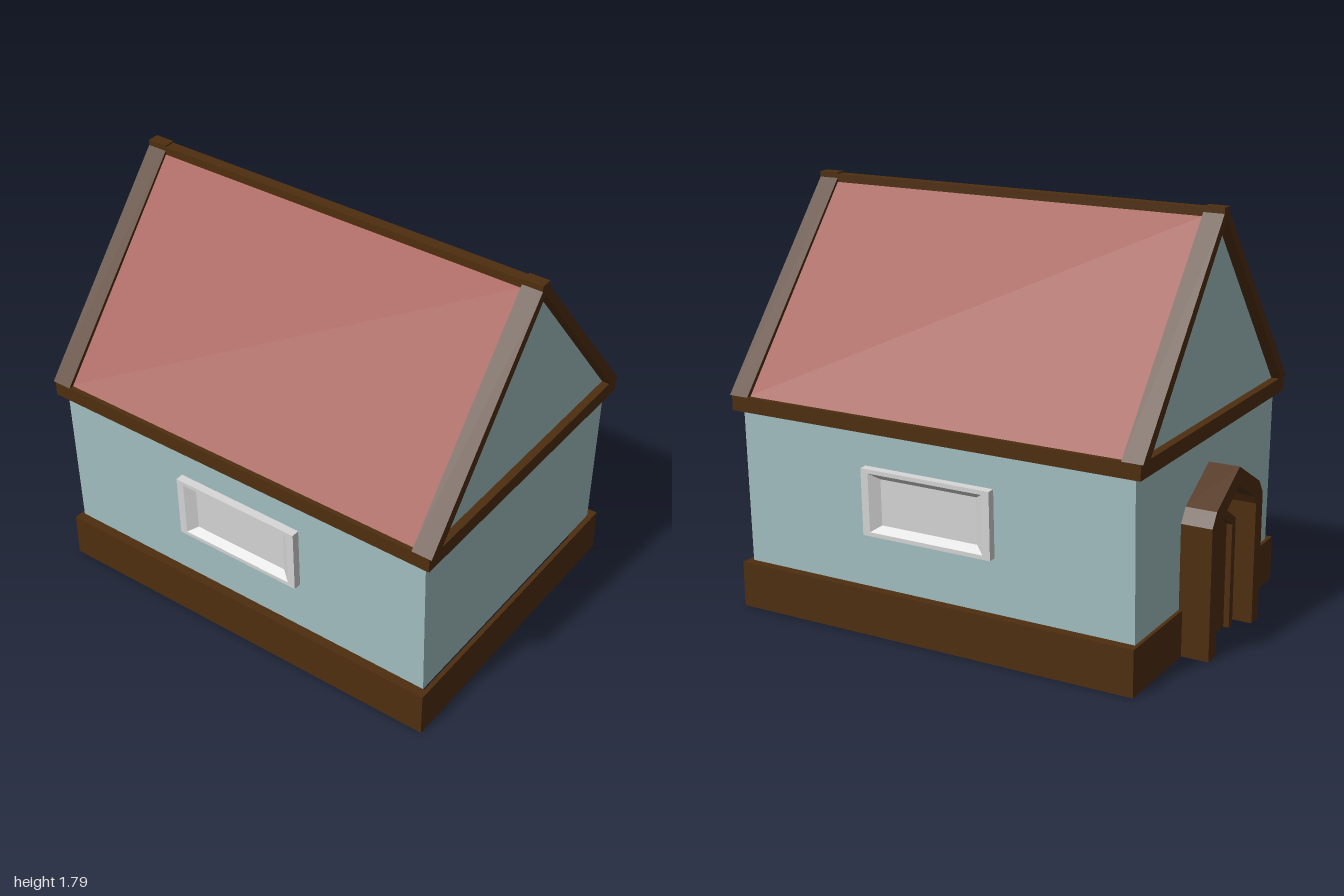
import * as THREE from 'three';

const mat = (name, color, side = THREE.FrontSide) => {
  const m = new THREE.MeshStandardMaterial({ color, side });
  m.name = name;
  return m;
};

// Flat-sided skin through rectangles [halfX, halfZ, y], optionally closed on the last one
function loft(rings, cap) {
  const pos = [];
  const corner = ([w, d, y], i) => [[w, y, d], [w, y, -d], [-w, y, -d], [-w, y, d]][i % 4];
  const quad = (a, b, c, d) => pos.push(...a, ...b, ...c, ...a, ...c, ...d);
  for (let r = 0; r + 1 < rings.length; r++) {
    for (let i = 0; i < 4; i++) {
      quad(corner(rings[r], i), corner(rings[r], i + 1), corner(rings[r + 1], i + 1), corner(rings[r + 1], i));
    }
  }
  if (cap) quad(...[0, 1, 2, 3].map((i) => corner(rings[rings.length - 1], i)));
  const g = new THREE.BufferGeometry();
  g.setAttribute('position', new THREE.Float32BufferAttribute(pos, 3));
  g.computeVertexNormals();
  return g;
}

// Outline in x/y extruded from z0 to z1
function slab(points, z0, z1) {
  const shape = new THREE.Shape(points.map(([x, y]) => new THREE.Vector2(x, y)));
  return new THREE.ExtrudeGeometry(shape, { depth: z1 - z0, bevelEnabled: false }).translate(0, 0, z0);
}

// Completes a right-hand half outline with its mirror image
const mirror = (half) => [...half, ...half.filter(([x]) => x > 0).reverse().map(([x, y]) => [-x, y])];

// Symmetric frame: up the outer edge, back down along the inner edge
function arch(outer, inner, z0, z1) {
  const flip = (pts) => pts.map(([x, y]) => [-x, y]);
  const points = [
    ...outer, ...flip(outer.slice(0, -1)).reverse(),
    ...flip(inner), ...inner.slice(0, -1).reverse(),
  ];
  return slab(points, z0, z1);
}

export function createModel() {
  const house = new THREE.Group();
  house.name = 'house';
  const wall = mat('pale blue plaster', 0xa2bfc0, THREE.DoubleSide);
  const wood = mat('dark brown wood', 0x4e2e0f, THREE.DoubleSide);
  const tile = mat('red roof tile', 0x983f33);
  const white = mat('window white', 0xd6d6d6);

  const add = (name, geometry, material, x = 0, y = 0, z = 0, parent = house) => {
    const mesh = new THREE.Mesh(geometry, material);
    mesh.name = name;
    mesh.position.set(x, y, z);
    parent.add(mesh);
    return mesh;
  };

  // Hollow plinth and walls that lean outward, open underneath
  add('plinth', loft([[0.702, 0.93, 0], [0.702, 0.93, 0.2], [0.66, 0.91, 0.2]]), wood, 0, 0, 0.05);
  add('walls', loft([[0.66, 0.91, 0.2], [0.68, 0.91, 0.885]]), wall, 0, 0, 0.045);

  // Eaves slab, gables and roof
  add('eavesBeam', new THREE.BoxGeometry(1.425, 0.065, 1.89), wood, 0, 0.9125, 0.045);
  add('gables', slab(mirror([[0.66, 0.94], [0, 1.745]]), -0.865, 0.955), wall);
  add('roofTiles', arch([[0.692, 0.945], [0.02, 1.757], [0, 1.757]], [[0.655, 0.945], [0, 1.74]], -0.83, 0.92), tile);
  add('ridgeBeam', new THREE.BoxGeometry(0.05, 0.035, 1.76), wood, 0, 1.768, 0.04);
  for (const [name, z0, z1] of [['frontRafters', 0.91, 1.0], ['backRafters', -0.91, -0.82]]) {
    add(name, arch([[0.714, 0.945], [0.026, 1.768], [0.026, 1.792], [0, 1.792]],
      [[0.655, 0.945], [0, 1.742]], z0, z1), wood);
  }

  // One recessed window on each side wall, tilted with the wall
  const windowGeometry = loft([
    [0.145, 0.3, -0.01], [0.145, 0.3, 0.036], [0.127, 0.266, 0.036], [0.1, 0.225, 0.006],
  ], true);
  for (const [name, turn] of [['leftWindow', 0], ['rightWindow', Math.PI]]) {
    const pivot = new THREE.Group();
    pivot.name = name;
    pivot.position.z = 0.05;
    pivot.rotation.y = turn;
    house.add(pivot);
    add('windowFrame', windowGeometry, white, 0.671, 0.585, 0, pivot).rotation.z = -Math.PI / 2 - 0.03;
  }

  // Back entrance: arched porch, door frame and door leaf
  add('porchArch', arch([[0.26, 0], [0.26, 0.565], [0.22, 0.625], [0, 0.75]],
    [[0.19, 0], [0.19, 0.535], [0.165, 0.575], [0, 0.67]], -1.0, -0.86), wood);
  add('doorFrame', arch([[0.135, 0], [0.135, 0.48], [0, 0.565]],
    [[0.1, 0], [0.1, 0.46], [0, 0.525]], -0.935, -0.86), wood);
  add('door', slab(mirror([[0.1, 0], [0.1, 0.46], [0, 0.525]]), -0.91, -0.87), wood);

  return house;
}
